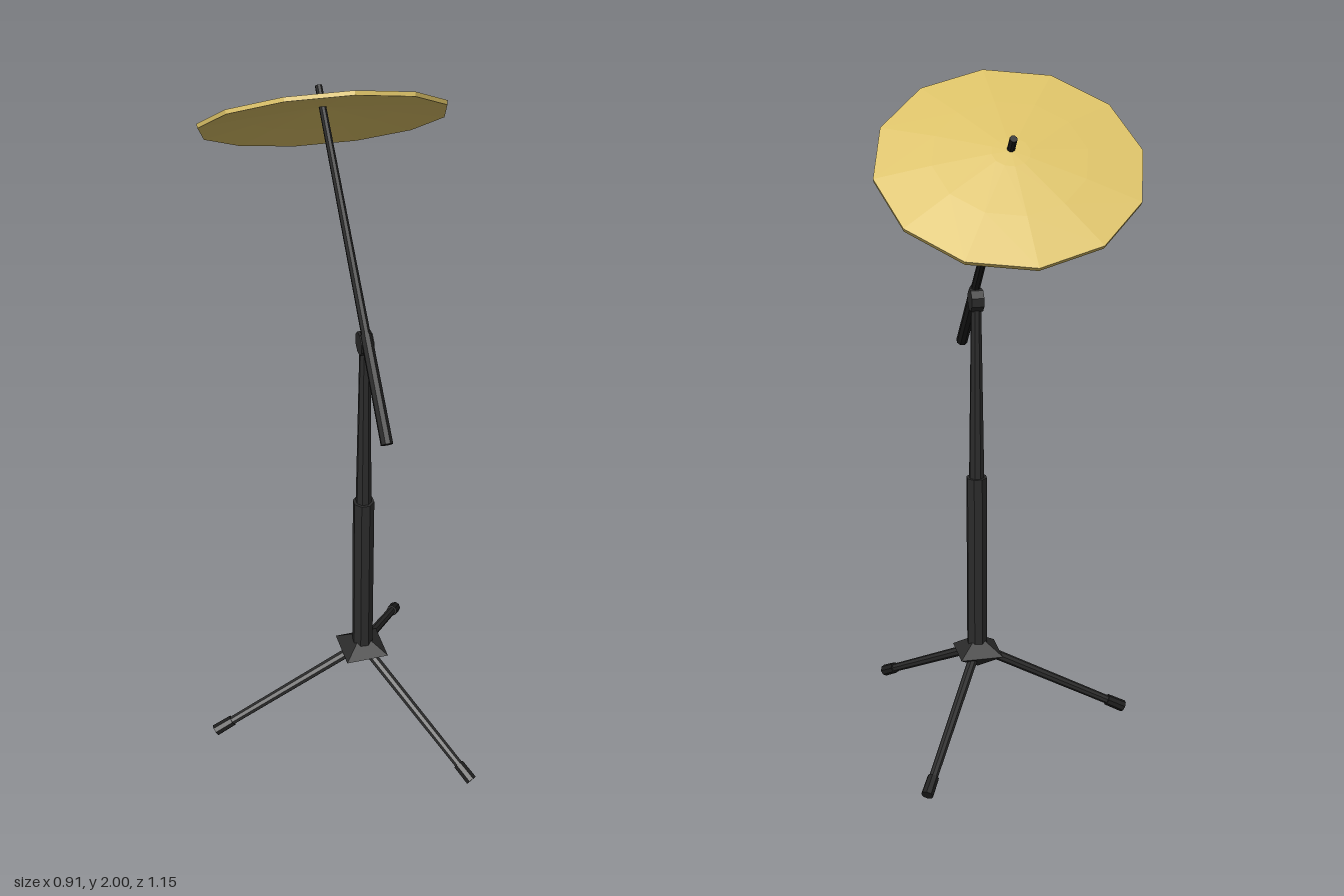
import * as THREE from 'three';

const V = (x, y, z) => new THREE.Vector3(x, y, z);

export function createModel() {
  const model = new THREE.Group();
  model.name = 'cymbalStand';

  const makeMaterial = (name, color) => {
    const m = new THREE.MeshStandardMaterial({ color, flatShading: true });
    m.name = name;
    return m;
  };
  const blackMetal = makeMaterial('black metal', 0x2b2b2b);
  const darkRubber = makeMaterial('dark rubber', 0x1e1e1e);
  const brass = makeMaterial('brass', 0xd9bf66);

  const add = (name, geometry, material) => {
    const mesh = new THREE.Mesh(geometry, material);
    mesh.name = name;
    model.add(mesh);
    return mesh;
  };
  // Tapered rod from point a (radius ra) to point b (radius rb)
  const rod = (name, a, b, ra, rb, material, sides = 8) => {
    const d = b.clone().sub(a);
    const mesh = add(name, new THREE.CylinderGeometry(rb, ra, d.length(), sides), material);
    mesh.position.copy(a).addScaledVector(d, 0.5);
    mesh.quaternion.setFromUnitVectors(V(0, 1, 0), d.normalize());
    return mesh;
  };

  const px = -0.016, pz = 0.115;

  // Telescopic pole
  rod('lowerPole', V(px, 0.25, pz), V(px, 0.815, pz), 0.031, 0.031, blackMetal);
  rod('upperPole', V(px, 0.8, pz), V(px, 1.34, pz), 0.023, 0.015, blackMetal);

  // Tripod hub
  const hub = add('tripodHub', new THREE.OctahedronGeometry(1), blackMetal);
  hub.scale.set(0.09, 0.052, 0.09);
  hub.position.set(px, 0.257, pz - 0.003);
  hub.rotation.y = 0.45;

  // Legs with rubber feet
  const hubTop = V(px, 0.268, pz);
  [[-0.449, -0.047], [0.062, 0.563], [0.335, -0.186]].forEach(([x, z]) => {
    const tip = V(x, 0.018, z);
    const dir = hubTop.clone().sub(tip).normalize();
    rod('leg', tip.clone().addScaledVector(dir, 0.02), hubTop, 0.013, 0.015, blackMetal);
    rod('foot', tip, tip.clone().addScaledVector(dir, 0.06), 0.018, 0.017, darkRubber);
  });

  // Tilting joint, its axle lying across the boom
  const axle = V(0.94, 0, 0.34).multiplyScalar(0.018);
  const joint = V(px, 1.348, pz);
  rod('tiltJoint', joint.clone().sub(axle), joint.clone().add(axle), 0.033, 0.033, blackMetal);

  // Boom arm: thick sleeve, then a thinner rod that passes through the cymbal
  const boomLow = V(-0.093, 1.168, 0.323), boomTip = V(0.148, 1.877, -0.335);
  const boomMid = boomLow.clone().lerp(boomTip, 0.3);
  rod('boomSleeve', boomLow, boomMid, 0.017, 0.016, darkRubber);
  rod('boomRod', boomMid, boomTip, 0.013, 0.01, darkRubber);

  // Cymbal: shallow twelve-sided cone shell, tilted back and to its side
  const profile = [
    [0, 0.036], [0.05, 0.031], [0.2, 0.015], [0.345, -0.006],
    [0.347, 0.006], [0.2, 0.031], [0.05, 0.05], [0, 0.053],
  ].map(([r, y]) => new THREE.Vector2(r, y));
  const cymbal = add('cymbal', new THREE.LatheGeometry(profile, 12), brass);
  const up = V(0.26, 0.81, -0.527).normalize();
  const side = V(0.326, -0.123, -0.029).projectOnPlane(up).normalize();
  const front = side.clone().cross(up);
  cymbal.quaternion.setFromRotationMatrix(new THREE.Matrix4().makeBasis(side, up, front));
  cymbal.position.set(0.127, 1.8, -0.284);

  return model;
}
